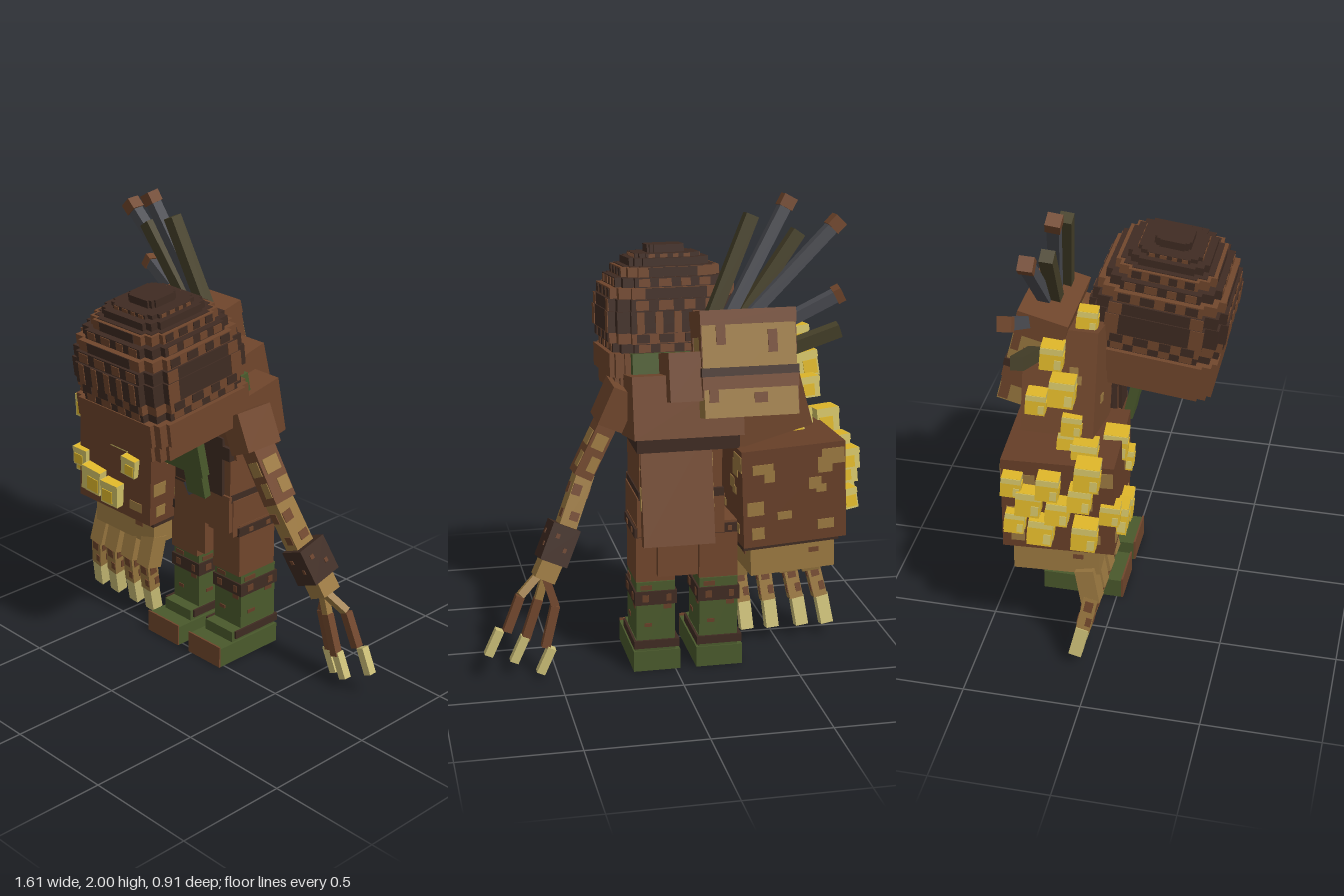
import * as THREE from 'three';

const mat = (name, color) => {
  const m = new THREE.MeshStandardMaterial({ color });
  m.name = name;
  return m;
};
const brown = mat('brown leather', 0x70462c);
const umber = mat('deep brown hide', 0x673f28);
const dark = mat('dark brown', 0x3f2b22);
const tan = mat('tan', 0x9a7840);
const green = mat('moss green', 0x4a592c);
const yellow = mat('crystal yellow', 0xe0b82a);
const glow = mat('crystal pale yellow', 0xd4c468);
const pale = mat('pale horn', 0xcabd76);
const grey = mat('iron grey', 0x4b4c52);
const olive = mat('dark olive', 0x47412a);

function box(parent, name, material, size, pos, rot = [0, 0, 0]) {
  const m = new THREE.Mesh(new THREE.BoxGeometry(...size), material);
  m.name = name;
  m.position.set(...pos);
  m.rotation.set(...rot);
  parent.add(m);
  return m;
}

// Box stretched between two points
function bar(parent, name, material, a, b, w, d = w) {
  const p = new THREE.Vector3(...a), q = new THREE.Vector3(...b);
  const dir = q.clone().sub(p);
  const m = box(parent, name, material, [w, dir.length(), d], p.clone().add(q).multiplyScalar(0.5).toArray());
  m.quaternion.setFromUnitVectors(new THREE.Vector3(0, 1, 0), dir.normalize());
  return m;
}

// Thin patches on the four sides of a box mesh; each is [u, v, width, height] as fractions
function patches(mesh, material, list, sides = [0, 1, 2, 3]) {
  const { width, height, depth } = mesh.geometry.parameters;
  sides.forEach((s) => {
    const across = s % 2 ? depth : width, out = (s % 2 ? width : depth) / 2 + 0.001;
    const face = new THREE.Group();
    face.name = 'patchedSide';
    face.rotation.y = s * Math.PI / 2;
    mesh.add(face);
    list.forEach(([u, v, w, h]) =>
      box(face, 'patch', material, [w * across, h * height, 0.005], [u * across, v * height, out]));
  });
}
const SPOTS = [[-0.3, 0.3, 0.2, 0.1], [-0.24, 0.22, 0.1, 0.12], [0.2, 0.1, 0.12, 0.12],
  [0.26, 0.04, 0.1, 0.08], [-0.1, -0.2, 0.14, 0.08], [0.3, -0.34, 0.16, 0.1], [-0.36, -0.36, 0.12, 0.12]];

function makeHead() {
  const head = new THREE.Group();
  head.name = 'hoodedHead';
  head.position.set(-0.05, 1.4, 0.16);
  head.rotation.x = 0.12;
  const dashes = [[-0.38, 0, 0.14, 0.8], [-0.12, 0, 0.16, 0.8], [0.14, 0, 0.12, 0.8], [0.38, 0, 0.14, 0.8]];
  const columns = [-0.4, -0.2, 0, 0.2, 0.4].map((u) => [u, 0, 0.08, 0.98]);
  const rims = [[-0.43, 0, 0.14, 0.98], [0.43, 0, 0.14, 0.98]];
  // Layers: width, depth, bottom, top, material, patch material, front/back patches, side patches
  const layers = [
    [0.52, 0.53, -0.27, -0.18, brown], [0.56, 0.54, -0.2, -0.1, brown],
    [0.52, 0.53, -0.10, -0.06, dark, brown, dashes, dashes],
    [0.55, 0.55, -0.06, -0.015, brown, dark, dashes, dashes],
    [0.56, 0.57, -0.015, 0.075, dark, brown, columns, rims],
    [0.55, 0.55, 0.075, 0.125, dark, brown, dashes, rims],
    [0.53, 0.52, 0.125, 0.17, brown, dark, [[0, 0, 0.7, 0.98]], dashes],
    [0.48, 0.47, 0.17, 0.21, dark, brown, dashes, dashes],
    [0.42, 0.41, 0.21, 0.25, brown, dark, [[0, 0, 0.7, 0.98]], dashes], [0.39, 0.38, 0.22, 0.253, dark],
    [0.34, 0.33, 0.25, 0.285, dark], [0.28, 0.26, 0.28, 0.302, dark, brown, dashes, dashes],
    [0.16, 0.15, 0.30, 0.335, dark]];
  layers.forEach(([w, d, y0, y1, m, pm, ends, flanks], i) => {
    const h = y1 - y0, pos = [0, (y0 + y1) / 2, 0], c = (i < 2 ? 0.2 : 0.3) * w;
    // Three crossed boxes give each layer stepped corners
    const long = box(head, 'hoodLayer' + (i + 1), m, [w - c, h, d], pos);
    const wide = box(head, 'hoodLayerWide', m, [w, h, d - c], pos);
    box(head, 'hoodLayerCorners', m, [w - c * 0.36, h, d - c * 0.36], pos);
    if (!pm) return;
    patches(long, pm, ends, [0, 2]);
    patches(wide, pm, flanks, [1, 3]);
  });
  return head;
}

function makeTorso(g) {
  box(g, 'chest', brown, [0.46, 0.26, 0.3], [-0.05, 1.13, -0.19], [0.2, 0, 0]);
  box(g, 'neck', dark, [0.3, 0.2, 0.26], [-0.05, 1.2, 0.0], [0.2, 0, 0]);
  box(g, 'collar', green, [0.25, 0.1, 0.24], [0.025, 1.27, -0.05], [0.2, 0, 0]);
  box(g, 'chestStrap', dark, [0.43, 0.06, 0.3], [-0.05, 1.0, -0.19]);
  box(g, 'waist', brown, [0.35, 0.24, 0.27], [-0.02, 0.9, -0.19]);
  box(g, 'belt', dark, [0.36, 0.035, 0.28], [-0.02, 0.785, -0.2]);
  box(g, 'hips', brown, [0.37, 0.17, 0.27], [-0.02, 0.69, -0.2]);
  box(g, 'frontFlap', brown, [0.28, 0.17, 0.03], [0.02, 0.715, -0.06]);
  box(g, 'frontFlapTail', brown, [0.12, 0.17, 0.03], [-0.05, 0.56, -0.06]);
  const back = bar(g, 'backFlap', brown, [0.0, 1.07, -0.28], [0.0, 0.58, -0.385], 0.3, 0.05);
  patches(back, tan, [[0, 0.1, 0.6, 0.2], [0.1, -0.2, 0.6, 0.12]], [1, 3]);
  bar(g, 'tailFlap', brown, [0.0, 0.66, -0.35], [0.0, 0.44, -0.36], 0.17, 0.03);
  [-0.12, 0.07].forEach((x) => box(g, 'vestEdge', dark, [0.1, 0.27, 0.02], [x, 0.93, -0.05]));
  // Scarf hanging from the neck
  bar(g, 'scarf', green, [-0.035, 1.16, 0.08], [-0.035, 0.9, 0.025], 0.25, 0.04);
  bar(g, 'scarfTail', green, [0.02, 0.94, 0.03], [0.02, 0.79, 0.0], 0.11, 0.035);
  box(g, 'buckle', grey, [0.06, 0.06, 0.02], [-0.06, 0.785, -0.03], [0, 0, 0.6]);
}

function makeLeg(x) {
  const leg = new THREE.Group();
  leg.name = x < 0 ? 'rightLeg' : 'leftLeg';
  leg.position.x = x;
  box(leg, 'thigh', brown, [0.165, 0.25, 0.215], [0, 0.525, -0.21]);
  const band = box(leg, 'thighBand', dark, [0.18, 0.04, 0.235], [0, 0.62, -0.21]);
  patches(band, brown, [[-0.2, 0, 0.1, 0.5], [0.25, 0, 0.1, 0.5]]);
  const shin = box(leg, 'boot', green, [0.165, 0.4, 0.21], [0, 0.2, -0.22]);
  patches(shin, umber, [[-0.25, 0.44, 0.3, 0.05], [0.3, 0.22, 0.2, 0.05], [-0.2, 0.02, 0.2, 0.04]]);
  const knee = box(leg, 'kneeBand', dark, [0.18, 0.06, 0.225], [0, 0.33, -0.22]);
  patches(knee, umber, [[-0.25, 0, 0.15, 0.5], [0.3, 0, 0.12, 0.5]]);
  box(leg, 'foot', green, [0.2, 0.09, 0.35], [-0.005, 0.045, -0.155]);
  box(leg, 'toeCap', brown, [0.2, 0.1, 0.008], [-0.005, 0.05, 0.024]);
  box(leg, 'instep', green, [0.17, 0.05, 0.26], [0, 0.115, -0.19]);
  box(leg, 'ankleBand', dark, [0.195, 0.035, 0.26], [-0.003, 0.122, -0.205]);
  return leg;
}

// Thin arm with three long fingers
function makeLeftArm() {
  const arm = new THREE.Group();
  arm.name = 'leftArm';
  box(arm, 'shoulder', brown, [0.11, 0.17, 0.19], [0.22, 1.12, -0.11], [0, 0, 0.42]);
  const upper = bar(arm, 'upperArm', brown, [0.37, 0.83, -0.14], [0.22, 1.12, -0.11], 0.08, 0.12);
  patches(upper, tan, [[0, 0, 0.7, 0.2], [0.2, -0.3, 0.5, 0.2]]);
  const fore = bar(arm, 'forearm', tan, [0.47, 0.56, -0.21], [0.355, 0.84, -0.14], 0.075, 0.1);
  patches(fore, brown, [[-0.2, 0.25, 0.5, 0.15], [0.15, -0.1, 0.5, 0.12]]);
  const cuff = bar(arm, 'cuff', dark, [0.515, 0.49, -0.235], [0.45, 0.635, -0.2], 0.12, 0.15);
  patches(cuff, umber, [[-0.2, 0.2, 0.14, 0.12], [0.2, -0.1, 0.12, 0.12]]);
  bar(arm, 'palm', tan, [0.55, 0.42, -0.245], [0.51, 0.5, -0.23], 0.09, 0.1);
  // Each finger: knuckle root, joint, claw start, tip
  const fingers = [
    [[0.54, 0.43, -0.27], [0.505, 0.31, -0.28], [0.55, 0.13, -0.29], [0.575, 0.02, -0.3]],
    [[0.54, 0.43, -0.24], [0.57, 0.33, -0.24], [0.63, 0.15, -0.24], [0.68, 0.055, -0.245]],
    [[0.57, 0.43, -0.23], [0.65, 0.36, -0.27], [0.71, 0.21, -0.28], [0.79, 0.11, -0.28]]];
  fingers.forEach(([root, joint, start, tip], i) => {
    bar(arm, 'knuckle', i ? tan : brown, joint, root, 0.033);
    bar(arm, 'finger', brown, start, joint, 0.037);
    bar(arm, 'claw', pale, tip, [tip[0] - 0.05, tip[1] + 0.11, tip[2]], 0.037);
  });
  return arm;
}

// Oversized arm with a blocky forearm, broad hand and crystals
function makeRightArm() {
  const arm = new THREE.Group();
  arm.name = 'rightArm';
  const upper = box(arm, 'upperArm', brown, [0.33, 0.44, 0.3], [-0.36, 1.22, -0.18], [0, 0, -0.27]);
  patches(upper, tan, SPOTS.slice(2, 5), [0]);
  patches(upper, tan, SPOTS.slice(1, 5), [1, 2, 3]);
  const fore = box(arm, 'forearm', umber, [0.45, 0.42, 0.46], [-0.475, 0.77, -0.165], [0, 0.06, -0.04]);
  patches(fore, tan, SPOTS.slice(2), [0]);
  patches(fore, tan, [...SPOTS, [0.38, 0.36, 0.22, 0.16], [0.3, 0.28, 0.14, 0.16], [-0.38, -0.1, 0.16, 0.14]], [1, 2, 3]);
  box(arm, 'wristBand', dark, [0.42, 0.035, 0.42], [-0.47, 0.56, -0.17], [0, 0.06, -0.04]);
  const hand = box(arm, 'hand', tan, [0.37, 0.14, 0.36], [-0.485, 0.49, -0.18], [0, 0.06, -0.04]);
  patches(hand, brown, [[0.25, 0.1, 0.12, 0.15]]);
  [[-0.65, -0.735], [-0.55, -0.62], [-0.44, -0.485], [-0.33, -0.37]].forEach(([x0, x1]) => {
    const at = (t, y, z) => [x0 + (x1 - x0) * t, y, z];
    bar(arm, 'fingerBase', tan, at(0.2, 0.3, -0.02), at(0, 0.45, -0.05), 0.08);
    const mid = bar(arm, 'finger', tan, at(0.7, 0.17, -0.05), at(0.3, 0.32, -0.02), 0.06);
    patches(mid, brown, [[0, 0.25, 0.6, 0.3], [0.25, -0.2, 0.4, 0.25]]);
    bar(arm, 'claw', pale, at(1, 0.05, -0.08), at(0.75, 0.18, -0.05), 0.055);
  });
  // Crystal growths: x, y, z, size
  const crystals = [
    [-0.72, 0.98, -0.02, 0.1], [-0.59, 0.99, -0.06, 0.1], [-0.42, 0.94, 0.03, 0.1], [-0.35, 0.82, 0.05, 0.08],
    [-0.67, 0.77, 0.06, 0.08], [-0.58, 0.69, 0.06, 0.11], [-0.46, 0.66, 0.06, 0.1], [-0.73, 0.87, -0.05, 0.09],
    [-0.74, 0.7, -0.03, 0.1], [-0.74, 0.8, -0.14, 0.09], [-0.73, 0.91, -0.18, 0.09], [-0.74, 0.7, -0.21, 0.1],
    [-0.73, 0.83, -0.26, 0.1], [-0.73, 0.72, -0.32, 0.08], [-0.73, 0.9, -0.33, 0.08],
    [-0.54, 1.01, -0.14, 0.08], [-0.55, 1.1, -0.12, 0.08], [-0.58, 1.27, -0.15, 0.1],
    [-0.53, 1.4, -0.2, 0.09], [-0.38, 1.49, -0.09, 0.08], [-0.57, 1.2, -0.26, 0.08], [-0.26, 1.42, -0.1, 0.07]];
  const faces = [glow, yellow, yellow, glow, glow, glow];
  crystals.forEach(([x, y, z, s], i) => {
    const c = box(arm, 'crystal', faces, [s, s * 1.1, s], [x, y, z], [0.08, 0.1, i % 2 ? -0.15 : -0.08]);
    patches(c, yellow, [[i % 2 ? 0.12 : -0.1, -0.12, 0.6, 0.55]], [0, 2]);
    patches(c, glow, [[0, 0.36, 1, 0.26], [0.3, -0.2, 0.3, 0.4]], [3]);
  });
  return arm;
}

function makeBackpack() {
  const pack = new THREE.Group();
  pack.name = 'backpack';
  const body = new THREE.Group();
  body.name = 'packBody';
  body.position.set(-0.29, 1.32, -0.3);
  body.rotation.x = 0.25;
  pack.add(body);
  const lower = box(body, 'packLower', tan, [0.39, 0.42, 0.2], [0, -0.005, 0]);
  patches(lower, brown, [[-0.3, 0.3, 0.1, 0.2], [0.25, 0.22, 0.1, 0.22], [0.1, -0.32, 0.14, 0.1], [-0.4, -0.25, 0.1, 0.2]], [0, 2]);
  patches(lower, brown, [[0, 0.38, 0.99, 0.2], [0.38, 0.15, 0.2, 0.3], [-0.4, 0.2, 0.16, 0.2],
    [0, -0.22, 0.99, 0.16], [-0.38, -0.38, 0.2, 0.2]], [1, 3]);
  box(body, 'packLid', brown, [0.4, 0.06, 0.21], [0, 0.19, 0]);
  box(body, 'packStrap', dark, [0.405, 0.035, 0.215], [0, -0.03, 0]);
  box(body, 'packSeam', brown, [0.4, 0.06, 0.208], [0, -0.07, 0]);
  box(pack, 'packFrame', brown, [0.16, 0.2, 0.22], [-0.04, 1.27, -0.28], [0.25, 0, 0]);
  // Fanned rods: base, tip, material; iron ones carry caps
  const rods = [
    [[-0.22, 1.42, -0.28], [-0.68, 1.88, -0.25], grey], [[-0.18, 1.42, -0.27], [-0.488, 1.965, -0.19], grey],
    [[-0.3, 1.41, -0.3], [-0.67, 1.605, -0.345], grey], [[-0.23, 1.42, -0.25], [-0.53, 1.84, -0.21], olive],
    [[-0.13, 1.42, -0.24], [-0.34, 1.91, -0.18], olive], [[-0.4, 1.34, -0.27], [-0.69, 1.445, -0.3], olive]];
  rods.forEach(([a, b, m]) => {
    bar(pack, 'rod', m, a, b, m === grey ? 0.048 : 0.055);
    if (m !== grey) return;
    const along = (t) => new THREE.Vector3(...b).lerp(new THREE.Vector3(...a), t).toArray();
    bar(pack, 'rodCap', brown, along(0.05), along(-0.03), 0.06);
  });
  return pack;
}

export function createModel() {
  const model = new THREE.Group();
  model.name = 'hoodedGiant';
  const torso = new THREE.Group();
  torso.name = 'torso';
  makeTorso(torso);
  model.add(torso, makeHead(), makeLeg(-0.185), makeLeg(0.085), makeLeftArm(), makeRightArm(), makeBackpack());
  return model;
}
